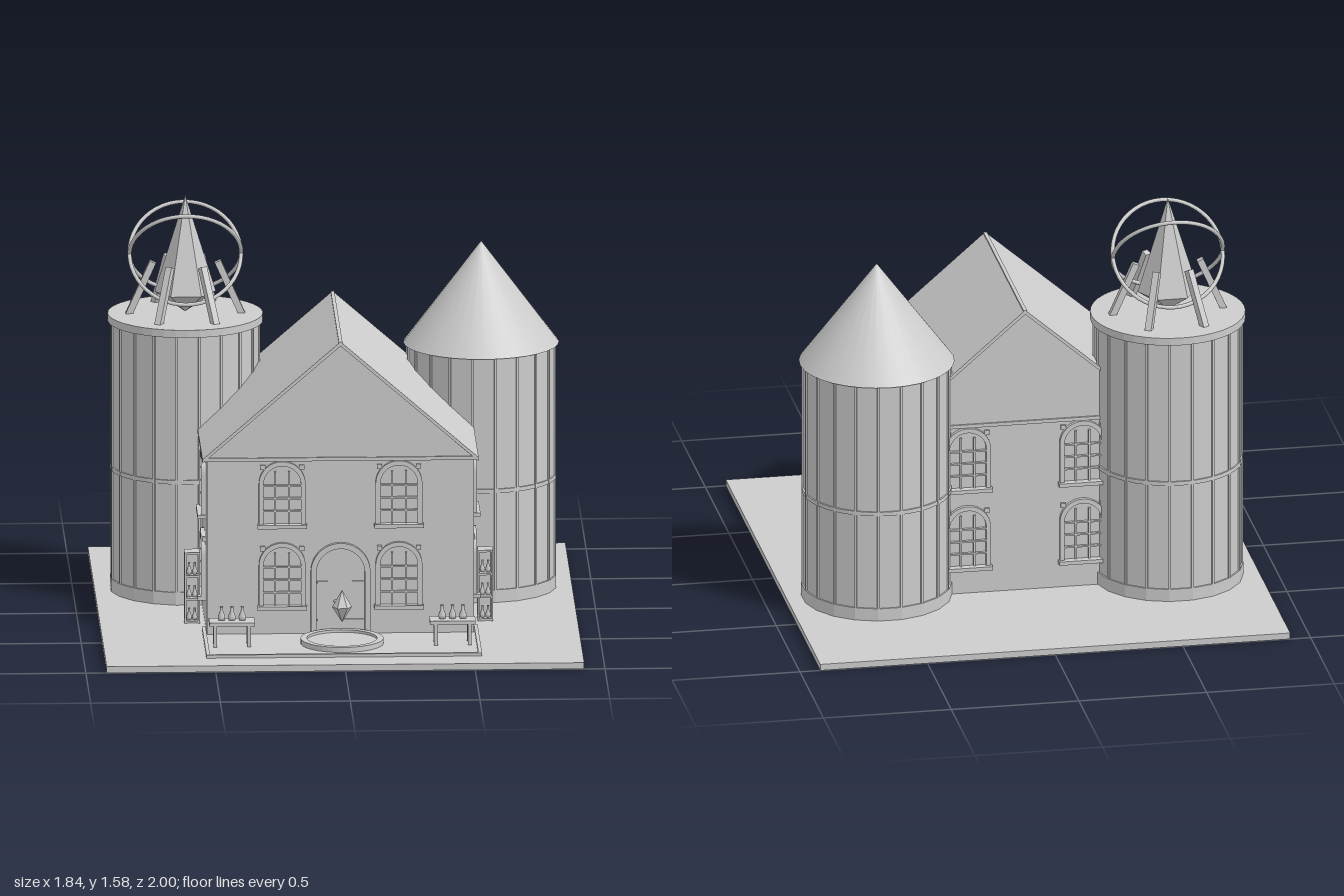
import * as THREE from 'three';

const stone = new THREE.MeshStandardMaterial({ color: 0xcccccc });
stone.name = 'pale stone';

function add(parent, name, geo, x = 0, y = 0, z = 0) {
  const m = new THREE.Mesh(geo, stone);
  m.name = name;
  m.position.set(x, y, z);
  parent.add(m);
  return m;
}
const box = (w, h, d) => new THREE.BoxGeometry(w, h, d);
const flat = (g) => { const n = g.toNonIndexed(); n.computeVertexNormals(); return n; };

function group(parent, name, x = 0, y = 0, z = 0, turn = 0) {
  const g = new THREE.Group();
  g.name = name;
  g.position.set(x, y, z);
  g.rotation.y = turn;
  parent.add(g);
  return g;
}

// Upright outline with a round top, standing on y = base
function arch(C, w, h, base = 0) {
  const r = w / 2, s = new C();
  s.moveTo(-r, base);
  s.lineTo(r, base);
  s.lineTo(r, h - r);
  s.absarc(0, h - r, r, 0, Math.PI, false);
  s.lineTo(-r, base);
  return s;
}
function archFrame(w, h, t, depth) {
  const s = arch(THREE.Shape, w, h);
  s.holes.push(arch(THREE.Path, w - 2 * t, h - t, 0.012));
  return new THREE.ExtrudeGeometry(s, { depth, bevelEnabled: false, curveSegments: 12 });
}

// Arched window with bars and sill, facing local +z
function addWindow(parent, x, y, z, turn) {
  const g = group(parent, 'window', x, y, z, turn);
  add(g, 'windowFrame', archFrame(0.18, 0.262, 0.018, 0.016));
  add(g, 'windowSill', box(0.19, 0.015, 0.03), 0, 0.006, 0.015);
  for (const bx of [-0.027, 0.027]) add(g, 'mullion', box(0.008, 0.21, 0.01), bx, 0.116, 0.005);
  for (const by of [0.065, 0.115, 0.165]) add(g, 'glazingBar', box(0.144, 0.006, 0.012), 0, by, 0.006);
  for (const s of [-1, 1]) add(g, 'cornerBlock', box(0.02, 0.018, 0.01), s * 0.075, 0.238, 0.005);
}

// Twenty-sided tower body with ribs, band and skirt
function addTower(parent, name, x, z, top, bandY) {
  const g = group(parent, name, x, 0, z), n = 20, r = 0.285, h = top - 0.025;
  const prism = (rad, hh) => flat(new THREE.CylinderGeometry(rad, rad, hh, n).rotateY(Math.PI / n));
  add(g, 'towerWall', prism(r, h), 0, 0.025 + h / 2, 0);
  add(g, 'towerSkirt', prism(r + 0.006, 0.05), 0, 0.05, 0);
  for (let i = 0; i < n; i++) {
    const a = ((i + 0.5) / n) * Math.PI * 2;
    add(g, 'towerRib', box(0.01, h, 0.01), Math.sin(a) * r, 0.025 + h / 2, Math.cos(a) * r).rotation.y = a;
  }
  add(g, 'towerBand', new THREE.CylinderGeometry(0.289, 0.289, 0.016, 40), 0, bandY, 0);
  return g;
}

// Six-sided double-pointed crystal
function addCrystal(parent, name, r, low, mid, high, x, z) {
  const pts = [[0, low], [r, mid], [0, high]].map((p) => new THREE.Vector2(...p));
  const geo = flat(new THREE.LatheGeometry(pts, 6).rotateY(Math.PI / 6 + Math.PI / 3));
  add(parent, name, geo, x, 0, z);
}

const flaskGeo = new THREE.LatheGeometry(
  [[0, 0], [0.013, 0.002], [0.015, 0.016], [0.006, 0.038], [0.006, 0.052], [0.008, 0.055], [0, 0.055]]
    .map((p) => new THREE.Vector2(...p)), 10);

export function createModel() {
  const model = new THREE.Group();
  model.name = 'towerHouse';
  add(model, 'groundSlab', box(1.84, 0.025, 2), 0, 0.0125, 0);

  // House body: gabled outline pushed along z
  const house = group(model, 'house');
  const hw = 0.515, eave = 0.715, ridge = 1.163, back = -0.355, front = 0.475;
  const body = new THREE.Shape([[-hw, 0.025], [hw, 0.025], [hw, eave], [0, ridge], [-hw, eave]]
    .map((p) => new THREE.Vector2(...p)));
  add(house, 'houseWalls',
    new THREE.ExtrudeGeometry(body, { depth: front - back, bevelEnabled: false }), 0, 0, back);

  // Roof: thin inverted V overhanging the walls
  const roof = new THREE.Shape([[-0.532, 0.718], [-0.532, 0.703], [0, 1.163], [0.532, 0.703], [0.532, 0.718], [0, 1.18]]
    .map((p) => new THREE.Vector2(...p)));
  add(house, 'roof',
    new THREE.ExtrudeGeometry(roof, { depth: 0.85, bevelEnabled: false }), 0, 0, -0.365);
  add(house, 'ridgeCap', box(0.014, 0.012, 0.85), 0, 1.174, 0.06);
  add(house, 'frontGableTrim', box(1.05, 0.014, 0.008), 0, 0.715, front + 0.003);
  add(house, 'backGableTrim', box(1.05, 0.014, 0.008), 0, 0.715, back - 0.003);

  // Windows on all four walls
  for (const y of [0.125, 0.447]) {
    for (const s of [-1, 1]) {
      addWindow(house, s * 0.225, y, front, 0);
      addWindow(house, s * 0.225, y, back, Math.PI);
      addWindow(house, s * hw, y, 0.23, s * Math.PI / 2);
    }
  }

  // Double door
  const door = group(house, 'door', 0, 0.025, front);
  add(door, 'doorFrame', archFrame(0.23, 0.36, 0.022, 0.02));
  add(door, 'doorLeaf', new THREE.ExtrudeGeometry(arch(THREE.Shape, 0.186, 0.338),
    { depth: 0.008, bevelEnabled: false }));
  add(door, 'doorSeam', box(0.005, 0.32, 0.004), 0, 0.16, 0.009);
  for (const y of [0.055, 0.205]) add(door, 'doorStrap', box(0.18, 0.008, 0.006), 0, y, 0.01);
  for (const s of [-1, 1]) add(door, 'doorKnob', new THREE.SphereGeometry(0.007, 10, 8), s * 0.02, 0.13, 0.012);

  // Tower with cone roof
  const coneTower = addTower(model, 'coneTower', 0.57, -0.3, 1.0, 0.465);
  add(coneTower, 'coneRoof', new THREE.ConeGeometry(0.3, 0.4, 32), 0, 1.19, 0);

  // Tower with crystal, claws and rings
  const crystalTower = addTower(model, 'crystalTower', -0.57, -0.3, 1.09, 0.51);
  add(crystalTower, 'towerCap', flat(new THREE.CylinderGeometry(0.299, 0.299, 0.03, 40)), 0, 1.1, 0);
  addCrystal(crystalTower, 'greatCrystal', 0.118, 1.12, 1.2, 1.58, 0, 0);
  for (let i = 0; i < 6; i++) {
    const arm = group(crystalTower, 'clawArm', 0, 0, 0, (i / 6) * Math.PI * 2);
    add(arm, 'claw', box(0.026, 0.23, 0.026), 0.172, 1.213, 0).rotation.z = 0.42;
  }
  for (const s of [-1, 1]) {
    add(crystalTower, 'ring', new THREE.TorusGeometry(0.215, 0.008, 8, 48), 0, 1.35, 0)
      .rotation.x = s * 0.62;
  }

  // Courtyard: border, round plinth, floating crystal
  const yard = group(model, 'courtyard');
  for (const s of [-1, 1]) add(yard, 'sideBorder', box(0.014, 0.015, 0.48), s * 0.524, 0.03, 0.635);
  add(yard, 'frontBorder', box(1.062, 0.015, 0.014), 0, 0.03, 0.868);
  add(yard, 'plinthFloor', new THREE.CylinderGeometry(0.137, 0.137, 0.01, 40), 0, 0.03, 0.637);
  const rim = new THREE.Shape().absarc(0, 0, 0.16, 0, Math.PI * 2, false);
  rim.holes.push(new THREE.Path().absarc(0, 0, 0.135, 0, Math.PI * 2, true));
  add(yard, 'plinthRim', new THREE.ExtrudeGeometry(rim, { depth: 0.02, bevelEnabled: false, curveSegments: 24 })
    .rotateX(-Math.PI / 2), 0, 0.025, 0.637);
  addCrystal(yard, 'smallCrystal', 0.038, 0.107, 0.168, 0.235, 0, 0.637);

  for (const s of [-1, 1]) {
    // Table with three flasks
    const table = group(model, 'table', s * 0.425, 0, 0.655);
    add(table, 'tableTop', box(0.176, 0.014, 0.085), 0, 0.115, 0);
    for (const x of [-0.065, 0.065]) {
      for (const z of [-0.03, 0.03]) add(table, 'tableLeg', box(0.014, 0.085, 0.014), x, 0.067, z);
    }
    for (const x of [-0.04, 0, 0.04]) add(table, 'flask', flaskGeo, x, 0.122, 0);

    // Shelf stand with flasks beside the house
    const shelf = group(model, 'shelf', s * 0.565, 0, 0.26);
    for (const x of [-0.026, 0.026]) add(shelf, 'shelfSide', box(0.007, 0.28, 0.065), x, 0.165, 0);
    add(shelf, 'shelfBack', box(0.055, 0.28, 0.007), 0, 0.165, -0.03);
    for (const y of [0.03, 0.12, 0.21, 0.301]) add(shelf, 'shelfBoard', box(0.05, 0.008, 0.065), 0, y, 0);
    for (const y of [0.034, 0.124, 0.214]) {
      for (const x of [-0.011, 0.011]) add(shelf, 'flask', flaskGeo, x, y, 0.008).scale.set(0.7, 0.85, 0.7);
    }
  }
  return model;
}
